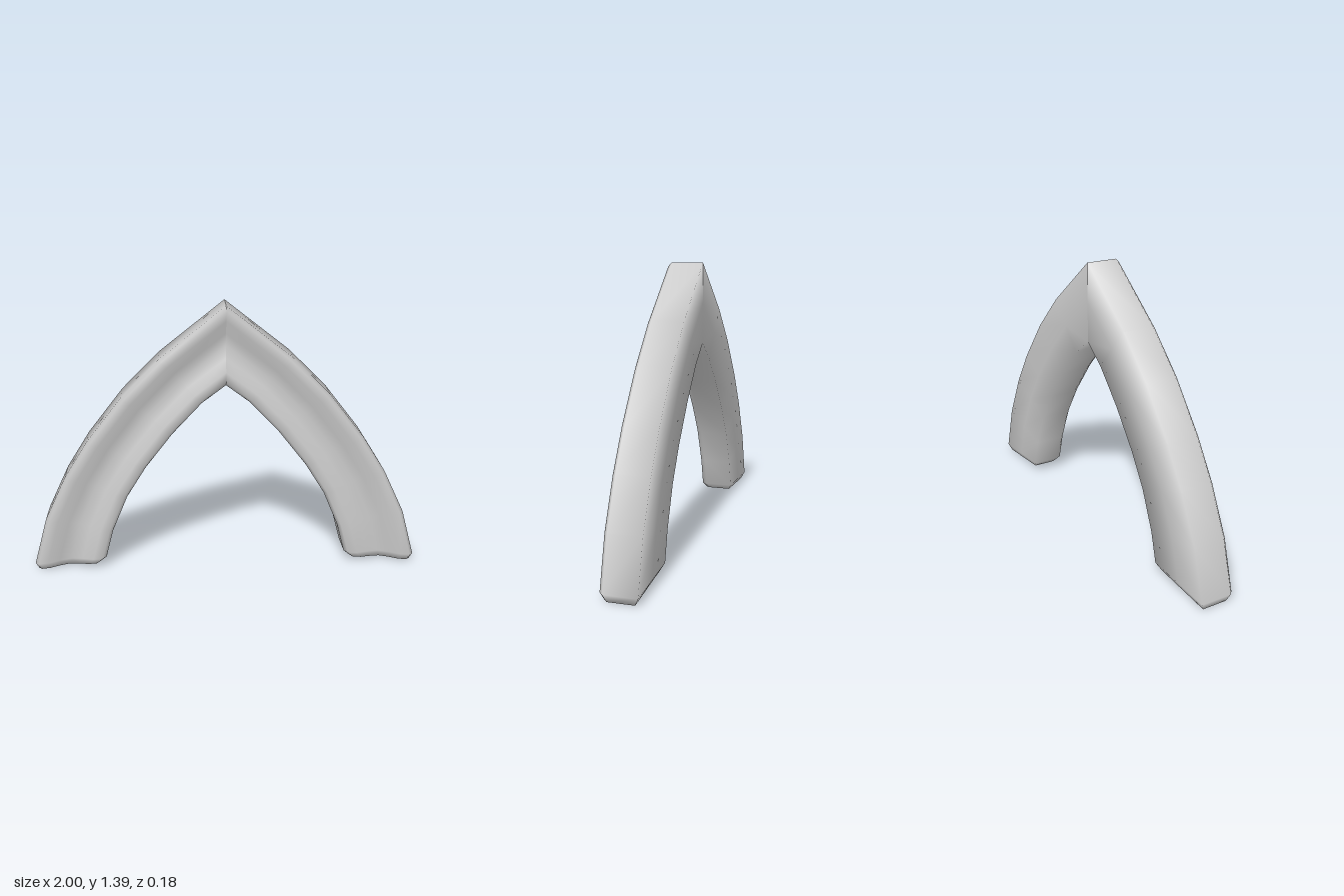
import * as THREE from 'three';

// Centreline rings from apex to foot: [inner x, inner y, outer x, outer y]
const RINGS = [
  [0, 0.99, 0, 1.39],
  [0.12, 0.9, 0.33, 1.13],
  [0.27, 0.74, 0.52, 0.94],
  [0.41, 0.56, 0.7, 0.71],
  [0.51, 0.4, 0.82, 0.52],
  [0.59, 0.21, 0.93, 0.29],
  [0.63, 0.06, 1.0, 0.04],
  [0.665, 0.027, 0.985, 0.003],
];

// Moulding section: [fraction from inner to outer edge, z], with a shallow front groove
const SECTION = [
  [0, -0.092], [0, 0.055], [0.05, 0.082], [0.18, 0.082], [0.34, 0.062], [0.5, 0.048],
  [0.66, 0.062], [0.82, 0.086], [0.95, 0.088], [1, 0.07], [1, -0.092], [0.5, -0.092],
];

// One half of the arch; side is +1 or -1 in x
function archHalf(side) {
  const pos = [], index = [];
  const n = SECTION.length, last = RINGS.length - 1;
  const tri = (a, b, c) => (side > 0 ? index.push(a, b, c) : index.push(a, c, b));

  RINGS.forEach(([ix, iy, ox, oy], r) => {
    const depth = r === last ? 0.8 : 1; // rounded-over foot
    for (const [t, z] of SECTION) {
      pos.push(side * (ix + (ox - ix) * t), iy + (oy - iy) * t, z * depth);
    }
  });
  for (let r = 0; r < last; r++) {
    for (let i = 0; i < n; i++) {
      const a = r * n + i, b = r * n + (i + 1) % n;
      tri(a, a + n, b);
      tri(b, a + n, b + n);
    }
  }

  // Foot cap
  const [ix, iy, ox, oy] = RINGS[last];
  const centre = pos.length / 3;
  pos.push(side * (ix + ox) / 2, (iy + oy) / 2, -0.015);
  for (let i = 0; i < n; i++) tri(centre, last * n + (i + 1) % n, last * n + i);

  const geo = new THREE.BufferGeometry();
  geo.setAttribute('position', new THREE.Float32BufferAttribute(pos, 3));
  geo.setIndex(index);
  geo.computeVertexNormals();
  return geo;
}

export function createModel() {
  const group = new THREE.Group();
  group.name = 'pointedArch';
  const material = new THREE.MeshStandardMaterial({ color: 0xcccccc });
  for (const [name, side] of [['leftArchHalf', 1], ['rightArchHalf', -1]]) {
    const mesh = new THREE.Mesh(archHalf(side), material);
    mesh.name = name;
    group.add(mesh);
  }
  return group;
}
